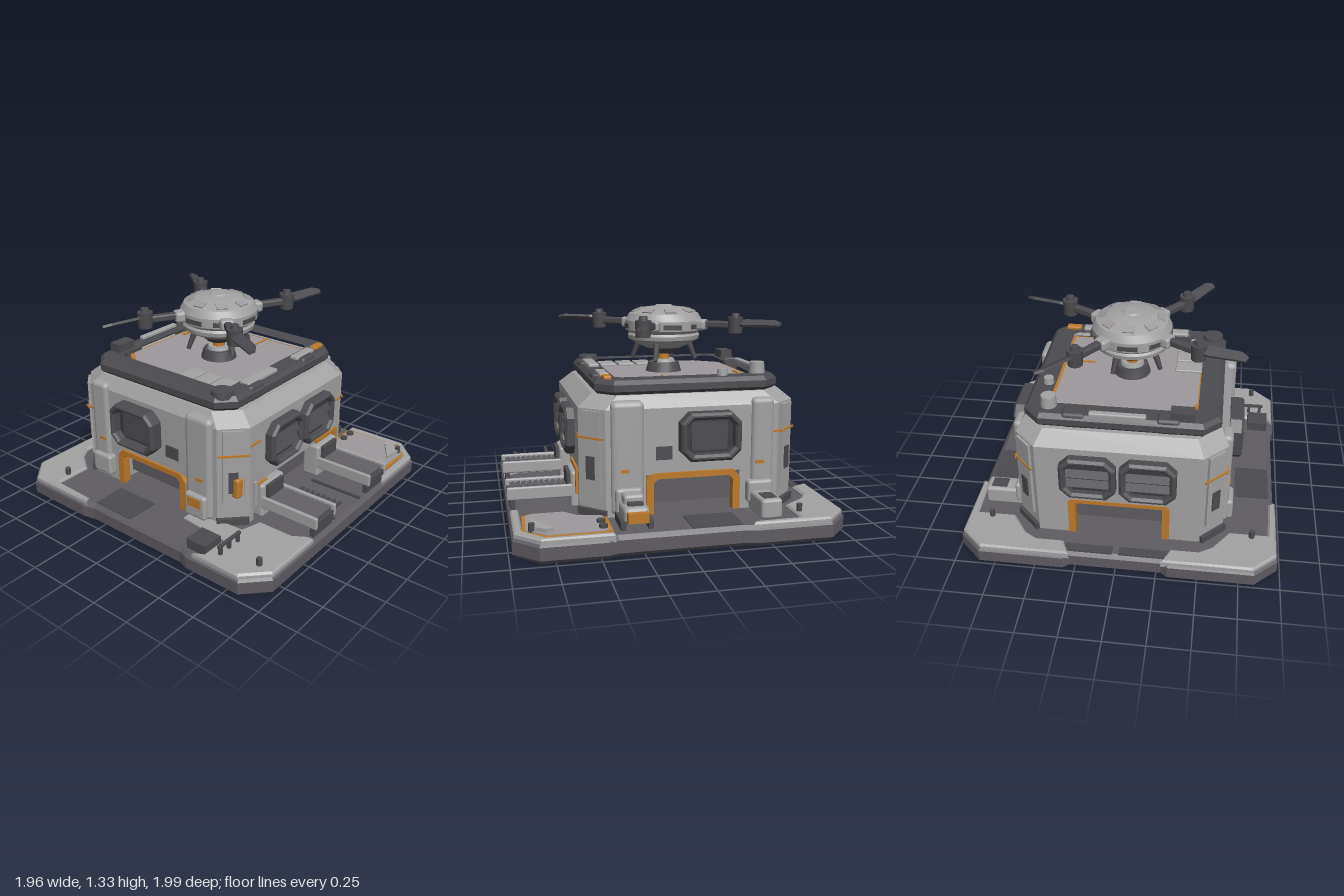
import * as THREE from 'three';
import { toCreasedNormals } from 'three/addons/utils/BufferGeometryUtils.js';
import { RoundedBoxGeometry } from 'three/addons/geometries/RoundedBoxGeometry.js';

const paint = (name, color) => {
  const m = new THREE.MeshStandardMaterial({ color });
  m.name = name;
  return m;
};
const hull = paint('hull grey', 0xa2a2a3);
const panel = paint('panel grey', 0x9d999c);
const floor = paint('floor dark grey', 0x5f5c62);
const dark = paint('trim dark grey', 0x4c4b4f);
const glass = paint('window black', 0x3c3b40);
const orange = paint('orange', 0xbd7a2b);

const CZ = -0.11; // centre of the building along z

function add(parent, name, geo, mat, x = 0, y = 0, z = 0) {
  const m = new THREE.Mesh(geo, mat);
  m.name = name;
  m.position.set(x, y, z);
  parent.add(m);
  return m;
}
const box = (p, name, mat, w, h, d, x, y, z) => add(p, name, new THREE.BoxGeometry(w, h, d), mat, x, y, z);
const soft = (p, name, mat, w, h, d, x, y, z, r = 0.02) =>
  add(p, name, new RoundedBoxGeometry(w, h, d, 2, r), mat, x, y, z);
const cyl = (p, name, mat, r1, r2, h, x, y, z, n = 16) =>
  add(p, name, new THREE.CylinderGeometry(r1, r2, h, n), mat, x, y, z);

// rectangle with cut corners
const cut = (w, h, c) => [[-w + c, -h], [w - c, -h], [w, -h + c], [w, h - c], [w - c, h], [-w + c, h], [-w, h - c], [-w, -h + c]];
const toShape = (pts) => new THREE.Shape(pts.map(([x, y]) => new THREE.Vector2(x, y)));

function prism(pts, depth, bevel = 0, hole) {
  const s = toShape(pts);
  if (hole) s.holes.push(toShape(hole));
  const g = new THREE.ExtrudeGeometry(s, {
    depth: depth - 2 * bevel, bevelEnabled: bevel > 0, bevelThickness: bevel,
    bevelSize: bevel, bevelOffset: -bevel, bevelSegments: 1,
  });
  return g.translate(0, 0, bevel);
}
// horizontal slab from [x, z] points
function slab(p, name, mat, pts, y0, y1, bevel = 0, hole) {
  const flip = (a) => a.map(([x, z]) => [x, -z]);
  const g = prism(flip(pts), y1 - y0, bevel, hole && flip(hole)).rotateX(-Math.PI / 2);
  return add(p, name, g, mat, 0, y0, 0);
}
const shift = (pts, dz) => pts.map(([x, z]) => [x, z + dz]);
const mirror = (pts, s) => pts.map(([x, z]) => [s * x, z]);
const shrink = (pts, cx, cz, k) => pts.map(([x, z]) => [cx + (x - cx) * k, cz + (z - cz) * k]);

// closed shell through cut-cornered rings: [y, halfX, halfZ, cut]
function loft(rings) {
  const loops = rings.map(([y, w, d, c]) => cut(w, d, c).map(([x, z]) => [x, y, z]));
  const v = [];
  for (let i = 0; i + 1 < loops.length; i++) for (let k = 0; k < 8; k++) {
    const j = (k + 1) % 8, a = loops[i], b = loops[i + 1];
    v.push(...a[k], ...b[k], ...b[j], ...a[k], ...b[j], ...a[j]);
  }
  const lo = loops[0], hi = loops[loops.length - 1];
  for (let k = 1; k < 7; k++) v.push(...lo[0], ...lo[k], ...lo[k + 1], ...hi[0], ...hi[k + 1], ...hi[k]);
  const g = new THREE.BufferGeometry();
  g.setAttribute('position', new THREE.Float32BufferAttribute(v, 3));
  g.computeVertexNormals();
  return g;
}

function makeWindow(w, h, depth, louvres) {
  const g = new THREE.Group();
  g.name = 'window';
  add(g, 'windowFrame', prism(cut(w / 2, h / 2, 0.06), depth, 0.015, cut(w / 2 - 0.04, h / 2 - 0.04, 0.04)), dark);
  box(g, 'windowPane', glass, w - 0.06, h - 0.06, 0.02, 0, 0, depth * 0.3);
  if (louvres) for (const y of [-0.04, 0.03]) {
    const l = box(g, 'louvre', dark, w - 0.08, 0.05, 0.015, 0, y, depth * 0.6);
    l.rotation.x = -0.5;
  } else box(g, 'windowInset', dark, w - 0.15, h - 0.12, 0.01, 0, 0, depth * 0.42);
  return g;
}

function makeBase(root) {
  const g = new THREE.Group();
  g.name = 'base';
  root.add(g);
  const edge = [[0.28, -0.97], [0.32, -1], [0.84, -1], [0.98, -0.87], [0.98, -0.4], [0.96, -0.32], [0.96, 0.4],
    [0.98, 0.46], [0.98, 0.84], [0.84, 0.98]];
  slab(g, 'platform', floor, [...edge, ...mirror(edge, -1).reverse()], 0, 0.125, 0.025);
  // light corner plates
  const back = [[0.28, -0.99], [0.83, -0.99], [0.97, -0.86], [0.97, -0.38], [0.93, -0.4], [0.92, -0.69], [0.68, -0.69],
    [0.58, -0.83], [0.5, -0.88], [0.33, -0.88]];
  for (const s of [-1, 1]) slab(g, 'backCornerPlate', hull, mirror(back, s), 0.085, 0.145, 0.012);
  slab(g, 'frontRightPlate', hull, [[-0.97, 0.5], [-0.97, 0.83], [-0.83, 0.97], [-0.42, 0.97], [-0.42, 0.93], [-0.47, 0.85],
    [-0.47, 0.62], [-0.6, 0.58], [-0.62, 0.22], [-0.72, 0.22], [-0.75, 0.56], [-0.93, 0.56]], 0.085, 0.145, 0.012);
  slab(g, 'frontLeftRim', hull, [[0.97, 0.42], [0.97, 0.83], [0.83, 0.97], [0.42, 0.97], [0.42, 0.92], [0.8, 0.92],
    [0.93, 0.8], [0.93, 0.42]], 0.085, 0.145, 0.01);
  // landing pad with orange border
  const pad = [[0.63, 0.42], [0.9, 0.42], [0.92, 0.46], [0.92, 0.8], [0.82, 0.92], [0.55, 0.91], [0.51, 0.86], [0.51, 0.66], [0.6, 0.58]];
  slab(g, 'padBorder', orange, pad, 0.12, 0.14);
  slab(g, 'landingPad', panel, shrink(pad, 0.72, 0.68, 0.92), 0.12, 0.146);
  slab(g, 'padRamp', hull, [[0.68, 0.86], [0.86, 0.75], [0.88, 0.79], [0.81, 0.88]], 0.14, 0.17);
  for (const x of [0.76, 0.85]) cyl(g, 'padBolt', dark, 0.025, 0.025, 0.03, x, 0.15, 0.47, 10);
  // floor plates and small fittings
  for (const s of [-1, 1]) {
    box(g, 'sideFloorPlate', dark, 0.22, 0.01, 0.3, s * 0.82, 0.125, -0.18);
    box(g, 'channelEdge', dark, 0.015, 0.02, 0.36, s * 0.15, 0.13, 0.77);
    box(g, 'backFloorPlate', dark, 0.3, 0.01, 0.06, s * 0.17, 0.125, -0.92);
    for (const z of [-0.72, 0.87]) cyl(g, 'post', dark, 0.018, 0.018, 0.06, s * 0.82, 0.16, z, 8);
  }
  for (let i = 0; i < 8; i++) box(g, 'channelRib', dark, 0.06, 0.02, 0.02, 0, 0.13, 0.6 + i * 0.04);
  box(g, 'floorLocker', dark, 0.14, 0.07, 0.14, -0.86, 0.155, 0.5);
  for (const x of [-0.88, -0.8, -0.72]) box(g, 'railPost', dark, 0.02, 0.08, 0.02, x, 0.165, 0.64);
  box(g, 'railBar', dark, 0.2, 0.015, 0.02, -0.8, 0.2, 0.64);
}

function makeBuilding(root) {
  const g = new THREE.Group();
  g.name = 'building';
  root.add(g);
  add(g, 'hullShell', loft([[0.37, 0.64, 0.67, 0.14], [0.77, 0.64, 0.67, 0.14], [0.845, 0.59, 0.58, 0.13]]), hull, 0, 0, CZ);
  box(g, 'innerCore', floor, 1.06, 0.22, 1.12, 0, 0.275, CZ);
  for (const s of [-1, 1]) {
    // corner legs
    slab(g, 'frontLeg', hull, mirror([[0.64, 0.18], [0.64, 0.42], [0.5, 0.56], [0.46, 0.56], [0.46, 0.18]], s), 0.12, 0.375);
    slab(g, 'backLeg', hull, mirror([[0.64, -0.4], [0.64, -0.64], [0.5, -0.78], [0.3, -0.78], [0.3, -0.6], [0.46, -0.4]], s), 0.12, 0.375);
    for (const z of [0.49, -0.71]) {
      const skirt = box(g, 'legSkirt', dark, 0.2, 0.05, 0.04, s * 0.575, 0.145, z);
      skirt.rotation.y = s * (z > 0 ? 1 : -1) * Math.PI / 4;
      const plate = box(g, 'cornerPanel', hull, 0.13, 0.52, 0.03, s * 0.573, 0.5, z);
      plate.rotation.y = skirt.rotation.y;
      const hatch = box(g, 'cornerHatch', dark, 0.06, 0.14, 0.008, s * 0.586, 0.42, z > 0 ? z + 0.013 : z - 0.013);
      hatch.rotation.y = skirt.rotation.y;
      const line = box(g, 'cornerStripe', orange, 0.19, 0.012, 0.008, s * 0.585, 0.6, z > 0 ? z + 0.013 : z - 0.013);
      line.rotation.y = skirt.rotation.y;
    }
    // side pillars
    soft(g, 'sidePillar', hull, 0.1, 0.68, 0.2, s * 0.62, 0.48, 0.29, 0.035);
    soft(g, 'sidePillar', hull, 0.09, 0.66, 0.14, s * 0.62, 0.48, -0.54, 0.03);
    soft(g, 'pillarFoot', hull, 0.1, 0.16, 0.16, s * 0.65, 0.23, 0.29);
    soft(g, 'pillarFoot', hull, 0.09, 0.14, 0.16, s * 0.65, 0.24, -0.52);
    box(g, 'footLamp', orange, 0.008, 0.06, 0.1, s * 0.702, 0.26, 0.29);
    box(g, 'pillarMark', orange, 0.008, 0.02, 0.05, s * 0.672, 0.41, 0.31);
    box(g, 'pillarMark', orange, 0.008, 0.02, 0.05, s * 0.667, 0.42, -0.52);
    box(g, 'sideStripe', orange, 0.008, 0.012, 0.09, s * 0.642, 0.6, -0.64);
    // side doorway
    const side = new THREE.Group();
    side.name = 'sideDoorway';
    side.position.set(s * 0.6, 0, CZ);
    side.rotation.y = s * Math.PI / 2;
    g.add(side);
    add(side, 'sideDoorFrame', prism([[-0.29, 0.13], [-0.29, 0.33], [-0.25, 0.38], [0.25, 0.38], [0.29, 0.33], [0.29, 0.13],
      [0.245, 0.13], [0.245, 0.32], [0.22, 0.345], [-0.22, 0.345], [-0.245, 0.32], [-0.245, 0.13]], 0.055), orange);
    box(side, 'sideVent', dark, 0.1, 0.08, 0.008, s * -0.18, 0.5, 0.044);
    const w = makeWindow(0.37, 0.29, 0.1, false);
    w.position.set(s * 0.09, 0.6, 0.03);
    side.add(w);
    // front and back windows
    for (const [z, turn] of [[0.54, 0], [-0.76, Math.PI]]) {
      const f = makeWindow(0.34, 0.29, 0.08, true);
      f.position.set(s * 0.18, 0.585, z);
      f.rotation.y = turn;
      g.add(f);
    }
    box(g, 'frontStripe', orange, 0.1, 0.012, 0.008, s * 0.45, s > 0 ? 0.6 : 0.65, 0.562);
    box(g, 'backDoorFrame', orange, 0.045, 0.25, 0.06, s * 0.29, 0.25, -0.755);
    box(g, 'frontDoorPost', s > 0 ? orange : hull, 0.03, 0.16, 0.03, s * 0.455, 0.31, 0.56);
  }
  box(g, 'frontDoorLintel', orange, 0.25, 0.025, 0.03, 0.335, 0.385, 0.56);
  box(g, 'frontDoorLintel', orange, 0.12, 0.02, 0.03, -0.4, 0.36, 0.56);
  box(g, 'backDoorLintel', orange, 0.6, 0.025, 0.04, 0, 0.375, -0.765);
  soft(g, 'orangeValve', orange, 0.08, 0.13, 0.06, -0.55, 0.385, 0.51, 0.015);
  for (const z of [0.545, -0.765]) box(g, 'browPanel', hull, 0.76, 0.03, 0.03, 0, 0.755, z);
}

function makeRamps(root) {
  for (const s of [-1, 1]) {
    const g = new THREE.Group();
    g.name = 'ramp';
    g.position.x = s * 0.31;
    root.add(g);
    soft(g, 'rampHousing', hull, 0.23, 0.23, 0.12, 0, 0.245, 0.54);
    box(g, 'rampMotor', dark, 0.16, 0.1, 0.06, 0, 0.3, 0.59);
    for (const t of [-1, 1]) soft(g, 'rampRail', hull, 0.025, 0.08, 0.42, t * 0.1, 0.24, 0.775, 0.01);
    box(g, 'rampBed', dark, 0.18, 0.04, 0.4, 0, 0.22, 0.78);
    box(g, 'rampLip', dark, 0.2, 0.1, 0.03, 0, 0.19, 0.95);
    for (let i = 0; i < 10; i++) {
      const t = box(g, 'tread', floor, 0.175, 0.016, 0.03, 0, 0.255, 0.62 + i * 0.036);
      t.rotation.x = 0.3;
    }
  }
}

function makeRoof(root) {
  const g = new THREE.Group();
  g.name = 'roof';
  root.add(g);
  slab(g, 'roofRim', dark, shift(cut(0.59, 0.57, 0.1), CZ), 0.84, 0.93, 0.025, shift(cut(0.47, 0.46, 0.05), CZ));
  const deck = [[-0.32, -0.58], [0.46, -0.58], [0.46, 0.33], [-0.43, 0.33], [-0.46, 0.3], [-0.46, -0.42]];
  slab(g, 'roofGutter', dark, shift(cut(0.5, 0.48, 0.05), CZ), 0.83, 0.875);
  slab(g, 'roofBorder', orange, deck, 0.87, 0.892);
  slab(g, 'roofDeck', panel, shrink(deck, 0, -0.12, 0.95), 0.87, 0.9);
  box(g, 'deckStripe', orange, 0.2, 0.008, 0.012, 0.35, 0.902, -0.01);
  box(g, 'deckMark', orange, 0.1, 0.008, 0.025, 0.2, 0.902, -0.52);
  for (let i = 0; i < 3; i++) soft(g, 'deckTile', hull, 0.17, 0.02, 0.11, -0.36, 0.905, -0.01 + i * 0.125, 0.008);
  for (const s of [-1, 1]) for (const z of [-0.62, 0.4]) soft(g, 'rimClamp', dark, 0.14, 0.1, 0.1, s * 0.28, 0.89, z);
  cyl(g, 'cornerKnob', dark, 0.065, 0.07, 0.04, -0.5, 0.935, 0.35);
  cyl(g, 'beacon', hull, 0.045, 0.05, 0.08, 0.44, 0.96, -0.57);
  cyl(g, 'smallBeacon', hull, 0.03, 0.035, 0.06, 0.49, 0.94, -0.33);
  box(g, 'ventBox', dark, 0.14, 0.07, 0.08, -0.36, 0.95, -0.61);
  soft(g, 'frontLightBar', hull, 0.3, 0.03, 0.07, -0.18, 0.935, 0.38, 0.01);
  soft(g, 'frontControlBar', hull, 0.2, 0.03, 0.06, 0.29, 0.935, 0.38, 0.01);
  soft(g, 'controlTip', orange, 0.1, 0.03, 0.05, 0.46, 0.935, 0.38, 0.01);
  soft(g, 'backLightBar', hull, 0.34, 0.03, 0.04, 0.02, 0.935, -0.64, 0.01);
  // docking stem
  cyl(g, 'dockBase', dark, 0.1, 0.12, 0.07, 0, 0.925, -0.08, 20);
  cyl(g, 'dockCollar', hull, 0.07, 0.08, 0.03, 0, 0.965, -0.08, 20);
  cyl(g, 'dockStem', orange, 0.035, 0.04, 0.1, 0, 1.02, -0.08, 12);
}

function makeDrone(root) {
  const g = new THREE.Group();
  g.name = 'drone';
  g.position.set(0, 0, -0.08);
  root.add(g);
  const profile = [[0, 1.05], [0.1, 1.05], [0.16, 1.075], [0.23, 1.115], [0.235, 1.14], [0.225, 1.155], [0.25, 1.175],
    [0.25, 1.235], [0.225, 1.28], [0.14, 1.315], [0.06, 1.325], [0.05, 1.333], [0, 1.333]];
  const body = new THREE.LatheGeometry(profile.map(([r, y]) => new THREE.Vector2(r, y)), 28);
  add(g, 'droneBody', toCreasedNormals(body, 0.35), hull);
  cyl(g, 'droneBelly', dark, 0.12, 0.08, 0.04, 0, 1.04, 0);
  for (let i = 0; i < 8; i++) {
    const h = new THREE.Group();
    h.name = 'droneSegment';
    h.rotation.y = i * Math.PI / 4;
    g.add(h);
    box(h, 'droneSlot', dark, 0.12, 0.03, 0.012, 0, 1.2, 0.244);
    const p = box(h, 'droneTopPanel', panel, 0.07, 0.008, 0.05, 0, 1.3, 0.183);
    p.rotation.x = 0.4;
  }
  for (let i = 0; i < 4; i++) {
    const h = new THREE.Group();
    h.name = 'landingLeg';
    h.rotation.y = Math.PI / 4 + 0.3 + i * Math.PI / 2;
    g.add(h);
    const l = cyl(h, 'foot', dark, 0.022, 0.014, 0.12, 0.19, 1.04, 0, 8);
    l.rotation.z = 0.4;
  }
  // rotor arms: [arm angle, blade angle] in degrees
  for (const [arm, tip] of [[-54, -50], [28, 14], [130, 122], [210, 195]]) {
    const a = new THREE.Group();
    a.name = 'rotorArm';
    a.rotation.y = -arm * Math.PI / 180;
    g.add(a);
    soft(a, 'armBeam', dark, 0.3, 0.045, 0.05, 0.34, 1.215, 0, 0.012);
    soft(a, 'armRoot', hull, 0.08, 0.07, 0.09, 0.26, 1.21, 0);
    cyl(a, 'motor', dark, 0.05, 0.045, 0.1, 0.49, 1.215, 0);
    cyl(a, 'motorCap', dark, 0.025, 0.03, 0.03, 0.49, 1.275, 0, 12);
    const b = slab(a, 'blade', dark, [[0, -0.018], [0.06, -0.04], [0.25, -0.042], [0.3, -0.015], [0.29, 0.02], [0.06, 0.032], [0, 0.018]], 0, 0.016);
    b.position.set(0.49, 1.22, 0);
    b.rotation.set(0.45, (arm - tip) * Math.PI / 180, 0, 'YXZ');
  }
}

function makeEquipment(root) {
  const g = new THREE.Group();
  g.name = 'yardEquipment';
  root.add(g);
  // loader beside the front corner
  soft(g, 'loaderBody', hull, 0.22, 0.1, 0.15, 0.77, 0.2, 0.28, 0.03);
  soft(g, 'loaderCab', hull, 0.12, 0.07, 0.12, 0.73, 0.265, 0.28, 0.02);
  box(g, 'loaderScreen', dark, 0.09, 0.02, 0.09, 0.79, 0.255, 0.28);
  box(g, 'loaderNose', orange, 0.04, 0.06, 0.12, 0.89, 0.2, 0.28);
  for (const z of [0.2, 0.36]) box(g, 'loaderTrack', dark, 0.2, 0.05, 0.03, 0.78, 0.15, z);
  // console beside the back corner
  soft(g, 'consoleBody', hull, 0.25, 0.12, 0.13, 0.77, 0.19, -0.52, 0.02);
  box(g, 'consoleScreen', dark, 0.1, 0.02, 0.08, 0.81, 0.245, -0.52);
  box(g, 'consoleMark', orange, 0.02, 0.03, 0.1, 0.665, 0.25, -0.52);
}

export function createModel() {
  const root = new THREE.Group();
  root.name = 'outpost';
  for (const make of [makeBase, makeBuilding, makeRamps, makeRoof, makeDrone, makeEquipment]) make(root);
  return root;
}
